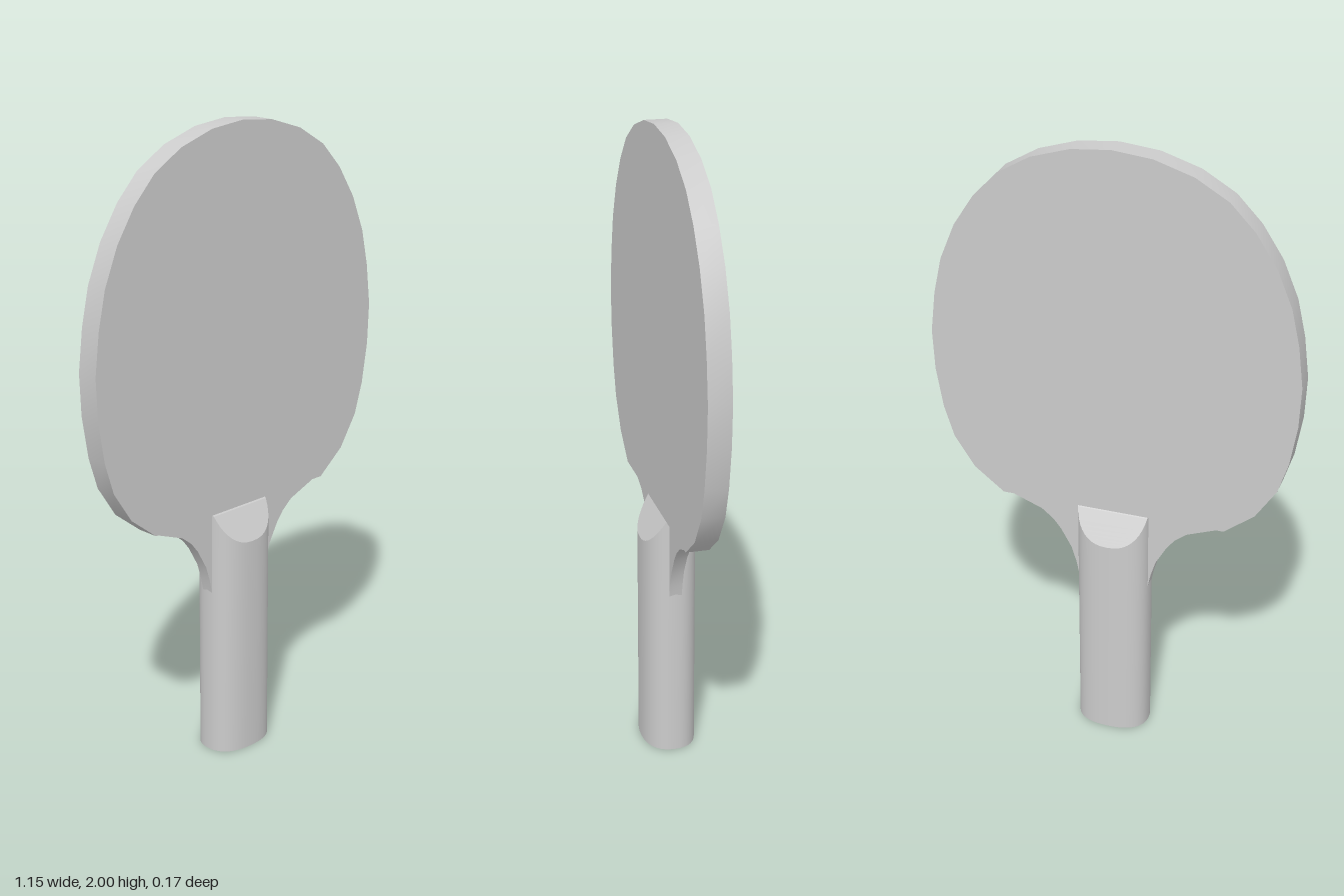
import * as THREE from 'three';
import { toCreasedNormals } from 'three/addons/utils/BufferGeometryUtils.js';

const material = new THREE.MeshStandardMaterial({ color: 0xcccccc });

function part(name, geometry) {
  const mesh = new THREE.Mesh(geometry, material);
  mesh.name = name;
  return mesh;
}

// Extrude a right-hand outline, mirrored to the left, as a slab centred on z = 0
function mirroredSlab(half, thickness) {
  const left = half.filter(([x]) => x > 0).reverse().map(([x, y]) => [-x, y]);
  const shape = new THREE.Shape([...half, ...left].map(([x, y]) => new THREE.Vector2(x, y)));
  const geometry = new THREE.ExtrudeGeometry(shape, { depth: thickness, bevelEnabled: false });
  geometry.translate(0, 0, -thickness / 2);
  return toCreasedNormals(geometry, 0.6);
}

// Handle section: a rounded oval, slightly squarer than an ellipse
const halfWidth = 0.117, halfDepth = 0.085;
const bulge = (t) => Math.sign(t) * Math.pow(Math.abs(t), 2 / 2.4);
function section(angle) {
  return [halfWidth * bulge(Math.cos(angle)), halfDepth * bulge(Math.sin(angle))];
}

// Top of the handle slopes from front and back up to the blade
const slopedTop = (z) => 0.71 + Math.min(halfDepth - Math.abs(z), 0.063) * 1.65;

// Grid whose vertices are placed by rule(u, v), v running upward
function grid(uSegments, vSegments, rule) {
  const geometry = new THREE.PlaneGeometry(1, 1, uSegments, vSegments);
  const p = geometry.attributes.position;
  for (let i = 0; i < p.count; i++) p.setXYZ(i, ...rule(p.getX(i) + 0.5, p.getY(i) + 0.5));
  return geometry;
}

function handleSide() {
  const geometry = grid(48, 1, (u, v) => {
    const [x, z] = section(-u * Math.PI * 2);
    return [x, v * slopedTop(z), z];
  });
  return toCreasedNormals(geometry, 0.7);
}

// End face made of strips across the section; heightAt gives y for each z
function handleEnd(heightAt, up) {
  const geometry = grid(1, 24, (u, v) => {
    const [x, z] = section((0.5 - v) * Math.PI);
    const across = up ? u * 2 - 1 : 1 - u * 2;
    return [x * across, heightAt(z), z];
  }).toNonIndexed();
  geometry.computeVertexNormals();
  return geometry;
}

export function createModel() {
  const paddle = new THREE.Group();
  paddle.name = 'paddle';

  // Round blade with a straight lower edge
  paddle.add(part('blade', mirroredSlab([
    [0.36, 0.815], [0.455, 0.89], [0.52, 0.99], [0.551, 1.09], [0.572, 1.22],
    [0.577, 1.35], [0.561, 1.48], [0.535, 1.595], [0.487, 1.71], [0.422, 1.81],
    [0.345, 1.89], [0.243, 1.95], [0.122, 1.988], [0, 2],
  ], 0.071)));

  // Thin neck flaring from the handle to the blade
  paddle.add(part('neck', mirroredSlab([
    [0.116, 0.55], [0.124, 0.59], [0.14, 0.642], [0.175, 0.705], [0.2, 0.737],
    [0.238, 0.768], [0.3, 0.792], [0.36, 0.815], [0.36, 0.82],
  ], 0.04)));

  // Oval handle
  const handle = new THREE.Group();
  handle.name = 'handle';
  handle.add(
    part('grip', handleSide()),
    part('gripTop', handleEnd(slopedTop, true)),
    part('gripBottom', handleEnd(() => 0, false)),
  );
  paddle.add(handle);
  return paddle;
}
